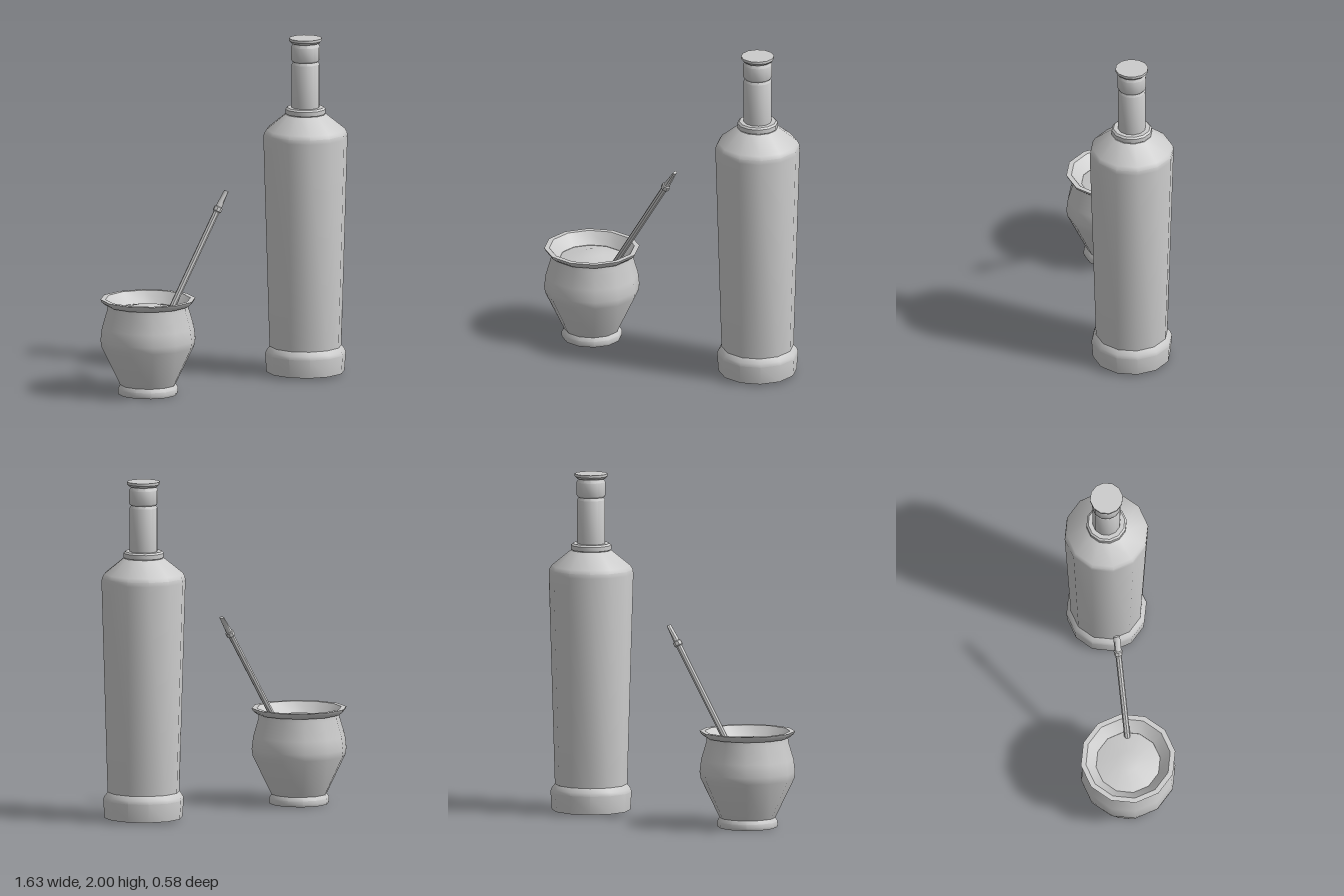
import * as THREE from 'three';
import { toCreasedNormals } from 'three/addons/utils/BufferGeometryUtils.js';

const material = new THREE.MeshStandardMaterial({ color: 0xcccccc });

// Turned part from [radius, height] pairs, smooth around with sharp profile edges
function turned(name, profile, sides = 12) {
  const points = profile.map(([r, y]) => new THREE.Vector2(r, y));
  const geometry = toCreasedNormals(new THREE.LatheGeometry(points, sides), 0.62);
  const mesh = new THREE.Mesh(geometry, material);
  mesh.name = name;
  return mesh;
}

function createBottle() {
  const bottle = new THREE.Group();
  bottle.name = 'bottle';
  bottle.add(
    turned('bottleBody', [
      [0, 0.012], [0.23, 0.012], [0.238, 0.12], [0.232, 0.14], [0.212, 0.165],
      [0.248, 1.41], [0.245, 1.435], [0.232, 1.457], [0.119, 1.548], [0, 1.548],
    ]),
    turned('neckCollar', [
      [0, 1.545], [0.112, 1.545], [0.119, 1.552], [0.119, 1.578], [0.108, 1.588], [0, 1.588],
    ]),
    turned('neck', [
      [0.082, 1.58], [0.082, 1.845], [0.073, 1.858], [0.073, 1.866], [0, 1.866],
    ]),
    turned('neckBand', [
      [0, 1.862], [0.078, 1.862], [0.085, 1.872], [0.085, 1.95], [0.075, 1.965], [0.075, 1.98],
    ]),
    turned('cap', [
      [0, 1.972], [0.085, 1.972], [0.097, 1.985], [0.097, 2], [0, 2],
    ]),
  );
  bottle.position.set(0.566, 0, 0.04);
  return bottle;
}

function createCup() {
  const cup = new THREE.Group();
  cup.name = 'cup';
  cup.add(
    turned('cupFoot', [
      [0, 0], [0.174, 0], [0.178, 0.012], [0.177, 0.035], [0.163, 0.058],
    ]),
    turned('cupBody', [
      [0.163, 0.055], [0.274, 0.285], [0.28, 0.325], [0.271, 0.4], [0.24, 0.505], [0.238, 0.535],
    ]),
    // Flared rim continuing into the hollow
    turned('cupRim', [
      [0.235, 0.53], [0.25, 0.532], [0.272, 0.55], [0.28, 0.567],
      [0.25, 0.567], [0.19, 0.5], [0.19, 0.47],
    ]),
    turned('cupFilling', [[0.2, 0.495], [0.065, 0.528], [0, 0.53]]),
  );
  cup.position.set(-0.54, 0, -0.011);
  return cup;
}

function createStraw() {
  const straw = new THREE.Group();
  straw.name = 'straw';
  const start = new THREE.Vector3(-0.41, 0.45, 0.01);
  const end = new THREE.Vector3(0.013, 1.147, 0.01);
  const length = start.distanceTo(end);
  const joint = length - 0.12;

  const tube = turned('strawTube', [[0, 0], [0.018, 0], [0.018, joint], [0, joint]], 8);
  const ring = turned('strawRing', [
    [0.017, joint - 0.018], [0.026, joint - 0.012], [0.026, joint + 0.012], [0.017, joint + 0.018],
  ], 8);

  // Mouthpiece flattens in one direction towards the tip
  const geometry = new THREE.CylinderGeometry(0.02, 0.02, 0.12, 8, 1);
  const position = geometry.attributes.position;
  for (let i = 0; i < position.count; i++) {
    if (position.getY(i) > 0) position.setX(i, position.getX(i) * 0.45);
  }
  const mouthpiece = new THREE.Mesh(toCreasedNormals(geometry, 0.9), material);
  mouthpiece.name = 'strawMouthpiece';
  mouthpiece.position.y = length - 0.06;

  straw.add(tube, ring, mouthpiece);
  straw.position.copy(start);
  straw.rotation.z = -Math.atan2(end.x - start.x, end.y - start.y);
  return straw;
}

export function createModel() {
  const model = new THREE.Group();
  model.name = 'drinkSet';
  model.add(createBottle(), createCup(), createStraw());
  return model;
}
